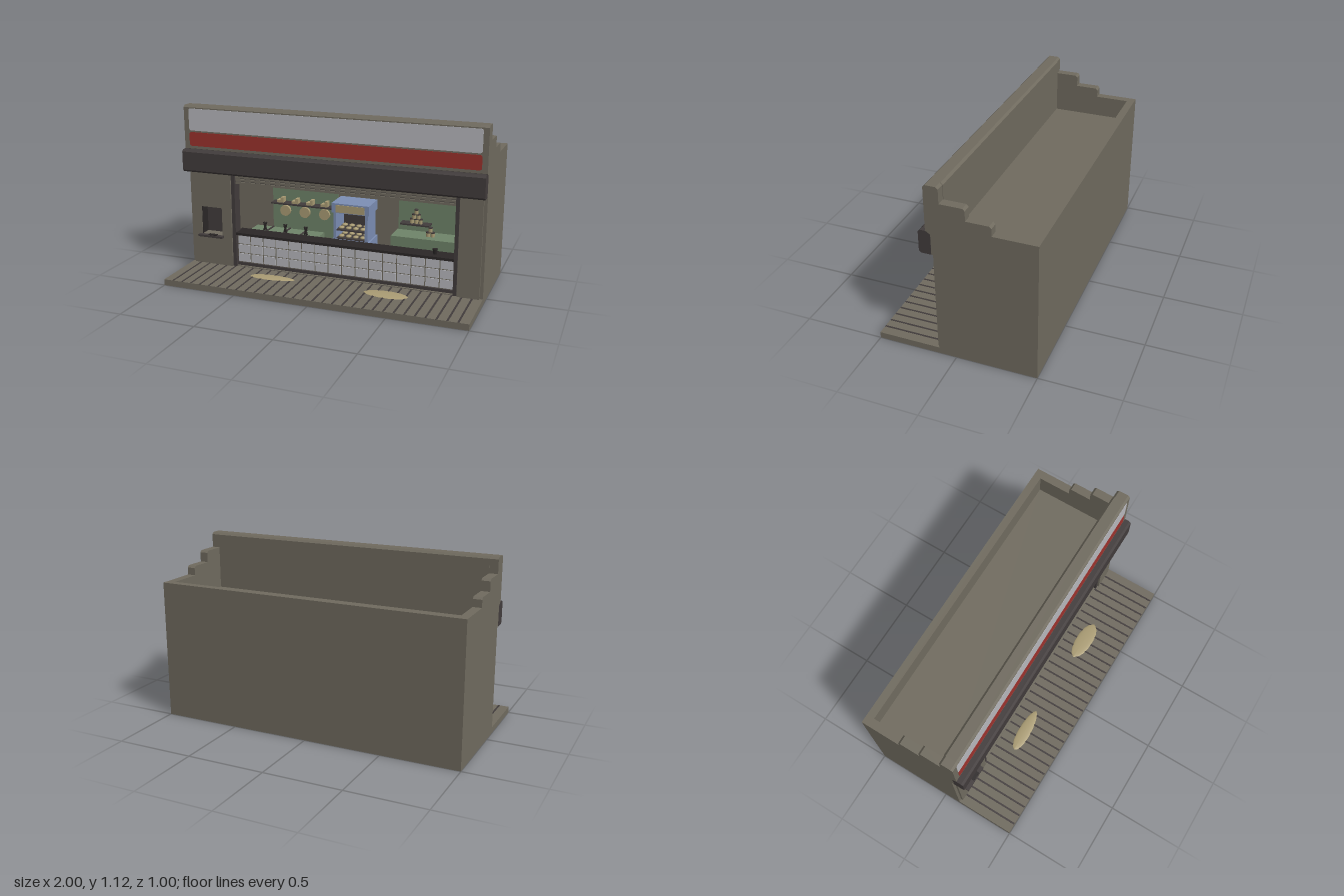
import * as THREE from 'three';

const mat = (name, color) => Object.assign(new THREE.MeshStandardMaterial({ color }), { name });

export function createModel() {
  const root = new THREE.Group();
  root.name = 'shop';
  const stone = mat('stone', 0x706b5f), dark = mat('dark metal', 0x423c3c), black = mat('black', 0x2b2727);
  const white = mat('white', 0xb8b8bd), red = mat('red', 0x9c322d), green = mat('green', 0x6f8469);
  const blue = mat('blue', 0x7d8fb5), tan = mat('tan', 0xaa9c74);

  const add = (name, geo, m, parent = root) => {
    const mesh = new THREE.Mesh(geo, m);
    mesh.name = name;
    parent.add(mesh);
    return mesh;
  };
  const box = (name, m, x0, x1, y0, y1, z0, z1, parent = root) => {
    const mesh = add(name, new THREE.BoxGeometry(x1 - x0, y1 - y0, z1 - z0), m, parent);
    mesh.position.set((x0 + x1) / 2, (y0 + y1) / 2, (z0 + z1) / 2);
    return mesh;
  };
  const group = (name) => {
    const g = new THREE.Group();
    g.name = name;
    root.add(g);
    return g;
  };
  // Extrudes a (z, y) profile from x0 to x1
  const extrudeX = (name, m, pts, x0, x1) => {
    const shape = new THREE.Shape(pts.map(([z, y]) => new THREE.Vector2(-z, y)));
    const geo = new THREE.ExtrudeGeometry(shape, { depth: x1 - x0, bevelEnabled: false });
    return add(name, geo.rotateY(Math.PI / 2).translate(x0, 0, 0), m);
  };
  const rect = (x0, x1, y0, y1, Type = THREE.Path) => new Type([[x0, y0], [x1, y0], [x1, y1], [x0, y1]]
    .map(([x, y]) => new THREE.Vector2(x, y)));
  // Upright panel with rectangular holes
  const panel = (name, m, outer, holes, z0, z1) => {
    const shape = rect(...outer, THREE.Shape);
    shape.holes = holes.map((h) => rect(...h));
    return add(name, new THREE.ExtrudeGeometry(shape, { depth: z1 - z0, bevelEnabled: false }).translate(0, 0, z0), m);
  };
  const roundedPlate = (name, m, x0, x1, y0, y1, z) => {
    const r = 0.015, s = new THREE.Shape();
    s.absarc(x1 - r, y1 - r, r, 0, Math.PI / 2);
    s.absarc(x0 + r, y1 - r, r, Math.PI / 2, Math.PI);
    s.absarc(x0 + r, y0 + r, r, Math.PI, Math.PI * 1.5);
    s.absarc(x1 - r, y0 + r, r, Math.PI * 1.5, Math.PI * 2);
    return add(name, new THREE.ExtrudeGeometry(s, { depth: 0.004, bevelEnabled: false, curveSegments: 4 }).translate(0, 0, z), m);
  };

  // Pavement with dark joints
  box('pavement', stone, -1, 1, 0, 0.04, -0.5, 0.5);
  const joints = group('pavementJoints');
  for (let i = 1; i < 31; i++) {
    const x = -1 + i * 2 / 31;
    box('joint', dark, x - 0.006, x + 0.006, 0.039, 0.0412, 0.11, 0.499, joints);
  }

  // Stepped side walls, back wall, roof and parapet
  const c = 0.013;
  const steps = [[-0.5, 0.04], [0.11, 0.04], [0.11, 0.69], [0.125, 0.69], [0.125, 0.82], [0.155, 0.84],
    [0.155, 1.125 - c], [0.155 - c, 1.125], [0.065 + c, 1.125], [0.065, 1.125 - c], [0.065, 1.025],
    [-0.085 + c, 1.025], [-0.085, 1.025 - c], [-0.085, 0.95], [-0.235 + c, 0.95], [-0.235, 0.95 - c],
    [-0.235, 0.89], [-0.5, 0.89]];
  extrudeX('rightSideWall', stone, steps, -1, -0.945);
  extrudeX('leftSideWall', stone, steps, 0.945, 1);
  box('backWall', stone, -0.945, 0.945, 0.04, 0.89, -0.5, -0.45);
  box('roof', stone, -0.945, 0.945, 0.72, 0.75, -0.45, 0.062);
  extrudeX('parapet', stone, [[0.062, 0.69], [0.125, 0.69], [0.125, 0.82], [0.155, 0.84], [0.155, 1.125 - c],
    [0.155 - c, 1.125], [0.062 + c, 1.125], [0.062, 1.125 - c]], -0.945, 0.945);

  // Front wall, piers and cash machine recess
  const recess = [-0.915, -0.765, 0.25, 0.44];
  panel('frontWall', stone, [-0.945, 0.945, 0.04, 0.69], [[-0.68, 0.82, 0.045, 0.685], recess], 0.05, 0.11);
  panel('rightPier', stone, [-0.98, -0.695, 0.04, 0.69], [recess], 0.11, 0.125);
  box('leftPier', stone, 0.84, 0.98, 0.04, 0.69, 0.11, 0.125);
  box('machineScreen', dark, -0.93, -0.75, 0.235, 0.455, 0.03, 0.052);
  box('machineSide', black, -0.916, -0.912, 0.25, 0.44, 0.05, 0.122);
  box('machineTray', dark, -0.935, -0.755, 0.235, 0.249, 0.05, 0.155);
  box('trayKeys', black, -0.86, -0.8, 0.249, 0.256, 0.128, 0.15);

  // Awning box and fascia panels
  extrudeX('awning', dark, [[0.126, 0.69], [0.187, 0.69], [0.2, 0.703], [0.2, 0.825], [0.187, 0.838],
    [0.15, 0.838], [0.126, 0.825]], -1, 1);
  roundedPlate('whiteFascia', white, -0.965, 0.965, 0.96, 1.105, 0.153);
  roundedPlate('redFascia', red, -0.965, 0.965, 0.858, 0.95, 0.153);

  // Shop opening: frame and rolled shutter
  for (const [x0, x1] of [[-0.695, -0.67], [0.812, 0.835]]) box('openingFrame', dark, x0, x1, 0.04, 0.69, 0.045, 0.116);
  const shutter = group('shutter');
  for (let i = 0; i < 4; i++) {
    const y = 0.612 + i * 0.02;
    box('slat', stone, -0.67, 0.812, y, y + 0.014, 0.07, 0.1, shutter);
    box('slatGap', dark, -0.67, 0.812, y + 0.014, y + 0.02, 0.075, 0.09, shutter);
  }

  // Tiled counter
  const counter = group('counter');
  box('counterBody', dark, -0.67, 0.812, 0.04, 0.262, 0.02, 0.084, counter);
  box('plinth', dark, -0.67, 0.812, 0.04, 0.065, 0.08, 0.095, counter);
  box('counterTop', black, -0.68, 0.82, 0.26, 0.277, 0, 0.112, counter);
  box('tileBacking', stone, -0.67, 0.812, 0.066, 0.26, 0.083, 0.086, counter);
  for (let i = 0; i < 16; i++) for (let j = 0; j < 3; j++) {
    const x = -0.669 + i * 0.0926, y = 0.071 + j * 0.063;
    box('tile', white, x + 0.004, x + 0.0886, y, y + 0.056, 0.08, 0.092, counter);
  }
  const cup = add('cup', new THREE.CylinderGeometry(0.017, 0.011, 0.036, 8), black);
  cup.position.set(0.68, 0.295, 0.06);

  // Green wall panels and cabinets
  box('wallPanel', green, -0.65, -0.15, 0.12, 0.585, -0.452, -0.443);
  box('wallPanel', green, 0.295, 0.8, 0.12, 0.585, -0.452, -0.443);
  box('displayCabinet', green, -0.65, -0.15, 0.04, 0.25, -0.175, 0);
  box('sideCabinet', green, 0.3, 0.8, 0.04, 0.26, -0.4, -0.24);
  for (let i = 1; i < 4; i++) {
    const x = -0.65 + i * 0.125;
    box('cabinetDivider', dark, x - 0.005, x + 0.005, 0.249, 0.257, -0.175, 0);
  }

  // Tongs and round loaves behind the cabinet
  for (const x of [-0.545, -0.395, -0.245]) {
    const loaf = add('roundLoaf', new THREE.CylinderGeometry(0.04, 0.04, 0.02, 12), tan);
    loaf.rotation.x = Math.PI / 2;
    loaf.position.set(x, 0.295, -0.425);
    for (const s of [-1, 1]) {
      const tong = box('tongs', black, x - 0.004, x + 0.004, 0.25, 0.31, -0.085, -0.07);
      tong.rotation.z = s * 0.3;
    }
  }

  // Shelves with small goods
  box('longShelf', dark, -0.635, -0.155, 0.352, 0.362, -0.444, -0.37);
  box('shortShelf', dark, 0.325, 0.53, 0.302, 0.312, -0.444, -0.37);
  for (let i = 0; i < 4; i++) {
    const x = -0.57 + i * 0.112;
    box('shelfLoafBase', tan, x - 0.025, x + 0.025, 0.362, 0.38, -0.43, -0.385);
    box('shelfLoafBack', tan, x + 0.005, x + 0.025, 0.38, 0.4, -0.43, -0.385);
  }
  const pyramid = (cx, y0, z, rows) => {
    const g = group('jarPyramid');
    for (let r = 0; r < rows; r++) for (let i = 0; i < rows - r; i++) {
      const x = cx + (i - (rows - r - 1) / 2) * 0.031, y = y0 + r * 0.033;
      add('jar', new THREE.CylinderGeometry(0.014, 0.014, 0.026, 8), tan, g).position.set(x, y + 0.013, z);
      add('jarLid', new THREE.CylinderGeometry(0.015, 0.015, 0.007, 8), dark, g).position.set(x, y + 0.0295, z);
    }
  };
  pyramid(0.43, 0.312, -0.405, 3);
  pyramid(0.555, 0.26, -0.31, 2);

  // Blue pastry oven
  const oven = group('pastryOven');
  box('ovenBase', blue, -0.06, 0.2, 0.04, 0.245, -0.27, -0.075, oven);
  for (const x of [-0.05, 0.17]) box('ovenSide', blue, x, x + 0.02, 0.245, 0.435, -0.25, -0.085, oven);
  box('ovenBack', dark, -0.03, 0.17, 0.245, 0.435, -0.25, -0.235, oven);
  box('ovenHood', blue, -0.06, 0.2, 0.43, 0.495, -0.26, -0.075, oven);
  box('hoodPlate', tan, -0.03, 0.17, 0.435, 0.485, -0.076, -0.071, oven);
  for (const y of [0.247, 0.305]) {
    box('ovenShelf', dark, -0.03, 0.17, y, y + 0.008, -0.235, -0.09, oven);
    for (let i = 0; i < 4; i++) for (const z of [-0.19, -0.125]) {
      const bun = add('bun', new THREE.SphereGeometry(0.02, 8, 6), tan, oven);
      bun.scale.set(1, 0.5, 1.1);
      bun.position.set(-0.005 + i * 0.05, y + 0.014, z);
    }
  }

  // Low sand heaps with a tapered outline
  const heap = (cx, cz, half, depth, flip) => {
    const geo = new THREE.SphereGeometry(1, 14, 6, 0, Math.PI * 2, 0, Math.PI / 2);
    const p = geo.attributes.position;
    for (let i = 0; i < p.count; i++) {
      const x = p.getX(i), z = p.getZ(i);
      p.setXYZ(i, x * half, p.getY(i) * 0.008, z * depth * (1 + 0.3 * flip * x) + 0.012 * flip * x);
    }
    geo.computeVertexNormals();
    add('sandHeap', geo, tan).position.set(cx, 0.04, cz);
  };
  heap(-0.355, 0.23, 0.155, 0.043, -0.5);
  heap(0.42, 0.245, 0.145, 0.058, 0.2);

  return root;
}
